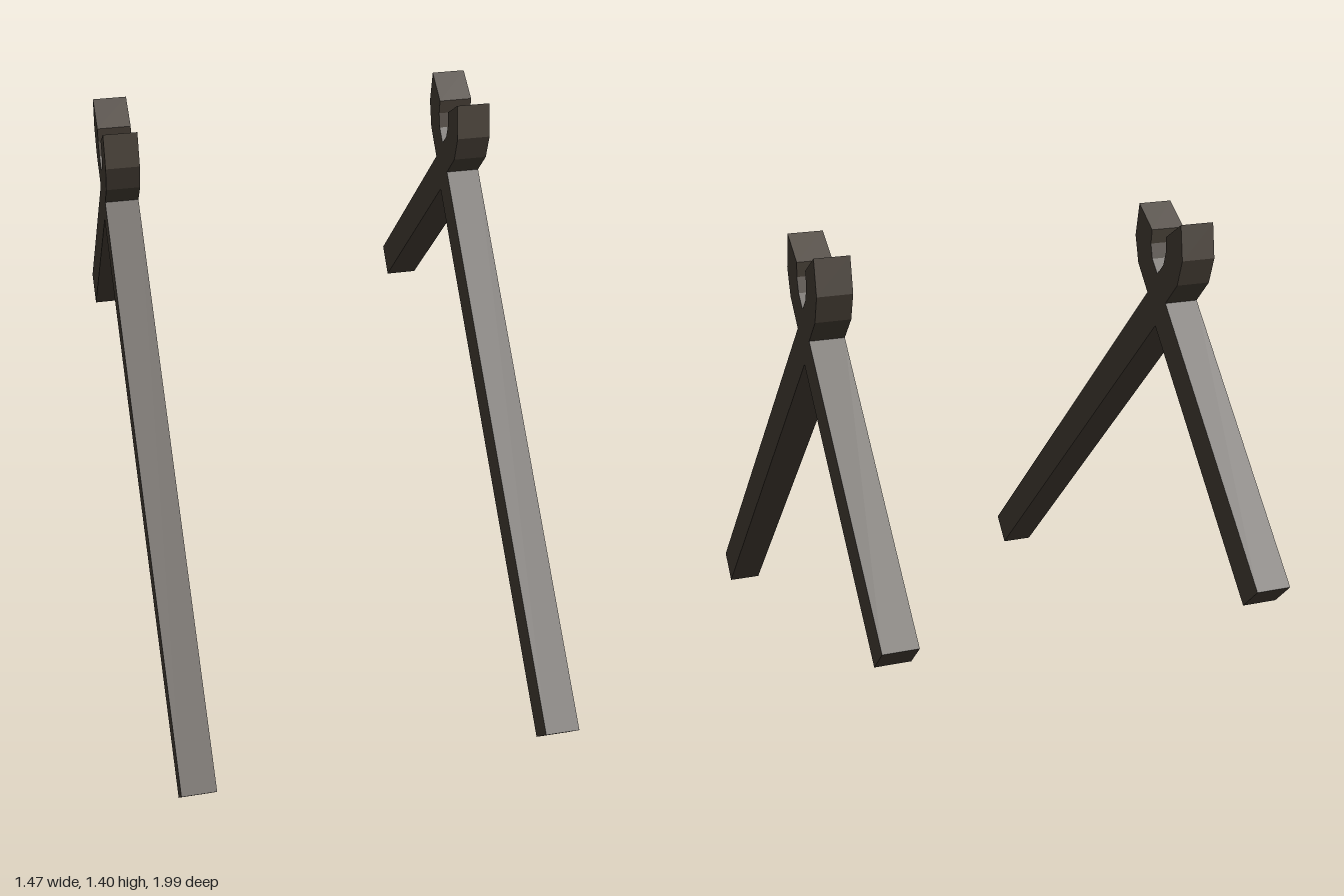
import * as THREE from 'three';

const THICKNESS = 0.09; // board thickness
const CROTCH = 1.235;   // height where the upper edges of the legs would cross
const WIDTH = 0.066;    // horizontal and vertical offset across a leg laid at 45 degrees

// One curved horn of the fork: outer edge upwards, over the tip, inner edge down
const HORN = [
  [0.055, 1.18], [0.118, 1.245], [0.141, 1.315], [0.124, 1.405],
  [0.041, 1.353], [0.045, 1.315], [0.033, 1.277], [0, 1.245],
];

// Square cut end of a leg reaching a given distance from the fork
function legEnd(reach) {
  const y = CROTCH - reach;
  return [[reach - WIDTH, y - WIDTH], [reach, y]];
}

// Crossed legs topped by a fork, cut from one outline
function createSupport(name, material, longReach, shortReach) {
  const mirror = ([u, y]) => [-u, y];
  const frontHalf = [...legEnd(longReach), ...HORN];
  const backHalf = [...legEnd(shortReach), ...HORN.slice(0, -1)].map(mirror).reverse();
  const outline = [[0, CROTCH - 2 * WIDTH], ...frontHalf, ...backHalf];

  const shape = new THREE.Shape(outline.map(([u, y]) => new THREE.Vector2(u, y)));
  const geometry = new THREE.ExtrudeGeometry(shape, { depth: THICKNESS, bevelEnabled: false });
  geometry.translate(0, 0, -THICKNESS / 2);
  geometry.rotateY(-Math.PI / 2); // outline runs front to back

  const support = new THREE.Mesh(geometry, material);
  support.name = name;
  support.rotation.y = -Math.PI / 12;
  return support;
}

export function createModel() {
  const model = new THREE.Group();
  model.name = 'forkedSupports';

  const wood = new THREE.MeshStandardMaterial({ color: 0x4a4239 });
  wood.name = 'dark wood';

  const left = createSupport('leftForkedSupport', wood, 1.155, 0.626);
  left.position.set(0.528, 0, -0.132);

  // The right support has a slightly longer front leg
  const right = createSupport('rightForkedSupport', wood, 1.168, 0.626);
  right.position.set(-0.393, 0, -0.382);

  model.add(left, right);
  return model;
}
